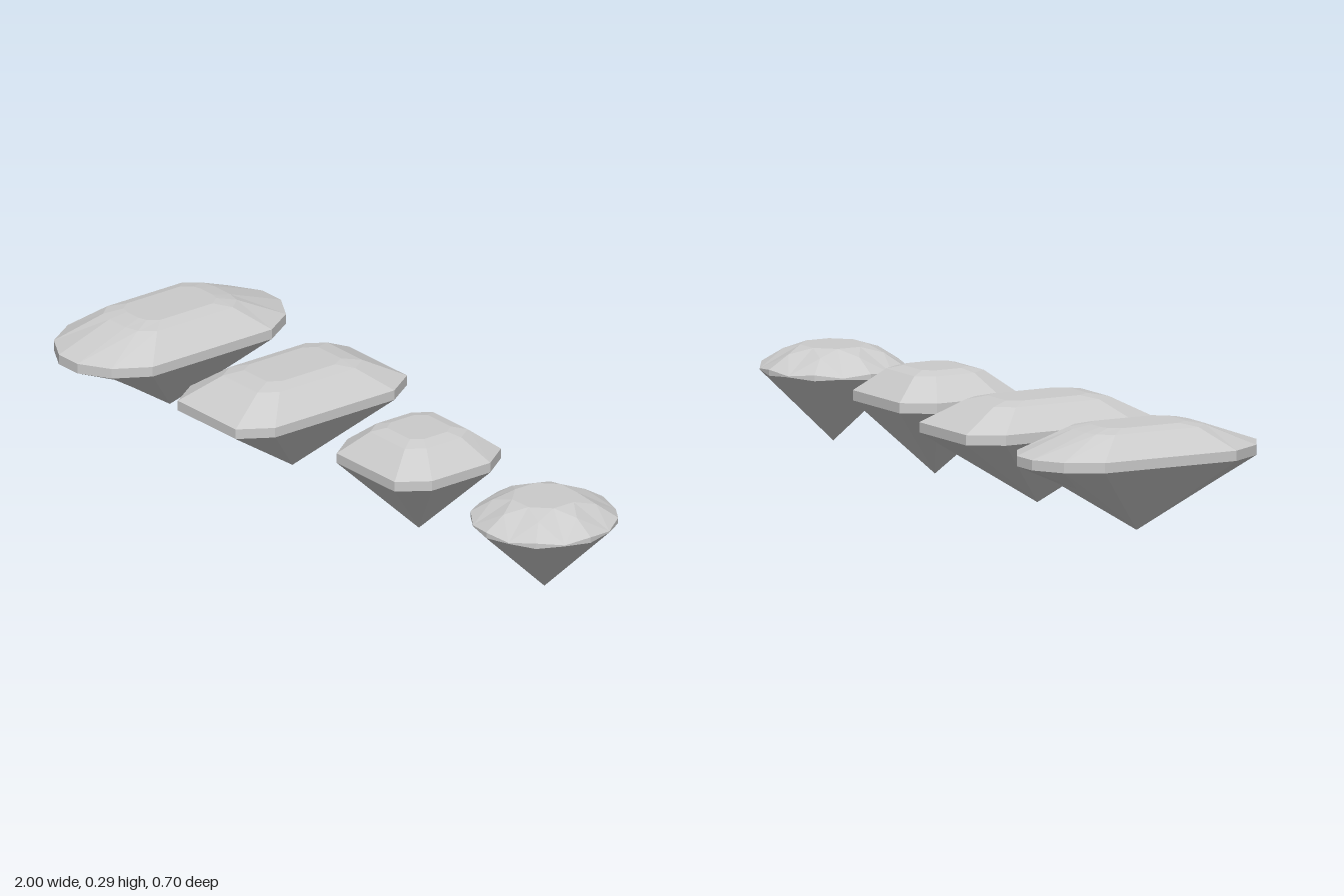
import * as THREE from 'three';

const material = new THREE.MeshStandardMaterial({ color: 0xcccccc, flatShading: true });

// Mirror one quarter of an outline ([x, z] pairs, from side to end) into a closed ring at height y
function ring(quarter, y) {
  const back = [...quarter].reverse();
  return [
    ...quarter.map(([x, z]) => [x, y, z]),
    ...back.map(([x, z]) => [-x, y, z]),
    ...quarter.map(([x, z]) => [-x, y, -z]),
    ...back.map(([x, z]) => [x, y, -z]),
  ];
}

// Triangles joining rings from bottom to top
function loft(rings) {
  const tris = [];
  for (let r = 0; r < rings.length - 1; r++) {
    const lo = rings[r], up = rings[r + 1], n = lo.length;
    for (let i = 0; i < n; i++) {
      const j = (i + 1) % n;
      tris.push(lo[i], up[i], lo[j], lo[j], up[i], up[j]);
    }
  }
  return tris;
}

// Fans closing the point underneath and the flat table on top
const point = (pts, y) => pts.flatMap((p, i) => [p, pts[(i + 1) % pts.length], [0, y, 0]]);
const table = (pts) => pts.flatMap((p, i) => [[0, p[1], 0], pts[(i + 1) % pts.length], p]);

function gem(name, tris, x) {
  const geometry = new THREE.BufferGeometry();
  geometry.setAttribute('position', new THREE.Float32BufferAttribute(tris.flat(), 3));
  geometry.computeVertexNormals();
  const mesh = new THREE.Mesh(geometry, material);
  mesh.name = name;
  mesh.position.x = x;
  return mesh;
}

// Step-cut gem: pavilion, optional knee, upright girdle, two crown steps
function stepCut({ girdle, step, top, knee }) {
  const rings = [ring(girdle, 0.197), ring(girdle, 0.225), ring(step, 0.285), ring(top, 0.295)];
  if (knee) rings.unshift(ring(knee, 0.133));
  return [...point(rings[0], 0), ...loft(rings), ...table(rings[rings.length - 1])];
}

// Round brilliant: 16-sided pavilion, wavy girdle, star and kite crown
function brilliant() {
  const at = (k, r, y) => {
    const a = (k * Math.PI) / 8;
    return [r * Math.cos(a), y, r * Math.sin(a)];
  };
  const lower = [], upper = [], star = [], top = [];
  for (let k = 0; k < 16; k++) {
    const even = k % 2 === 0;
    lower.push(at(k, 0.2, even ? 0.206 : 0.211));
    upper.push(at(k, 0.2, even ? 0.222 : 0.214));
    if (even) star.push(at(k, 0.14, 0.259));
    else top.push(at(k, 0.09, 0.277));
  }
  const tris = [...point(lower, 0.013), ...loft([lower, upper]), ...table(top)];
  for (let i = 0; i < 8; i++) {
    const g0 = upper[2 * i], g1 = upper[2 * i + 1], g2 = upper[(2 * i + 2) % 16];
    const s0 = star[i], s1 = star[(i + 1) % 8];
    const t0 = top[i], t1 = top[(i + 1) % 8];
    tris.push(g0, s0, g1, g1, s1, g2); // girdle facets
    tris.push(g1, s0, t0, g1, t0, s1); // kite
    tris.push(s1, t0, t1); // star facet
  }
  return tris;
}

export function createModel() {
  const model = new THREE.Group();
  model.name = 'cutGems';

  model.add(gem('ovalGem', stepCut({
    girdle: [[0.183, 0.205], [0.125, 0.3], [0.04, 0.35]],
    step: [[0.108, 0.13], [0.075, 0.17], [0.035, 0.18]],
    top: [[0.072, 0.09], [0.05, 0.12], [0.025, 0.127]],
    knee: [[0.124, 0.139], [0.085, 0.2], [0.028, 0.202]],
  }), -0.817));

  model.add(gem('longGem', stepCut({
    girdle: [[0.183, 0.205], [0.125, 0.295]],
    step: [[0.108, 0.13], [0.075, 0.18]],
    top: [[0.072, 0.09], [0.05, 0.127]],
  }), -0.288));

  model.add(gem('squareGem', stepCut({
    girdle: [[0.183, 0.1], [0.125, 0.183]],
    step: [[0.108, 0.06], [0.075, 0.108]],
    top: [[0.072, 0.04], [0.05, 0.07]],
  }), 0.258));

  model.add(gem('roundGem', brilliant(), 0.8));
  return model;
}
